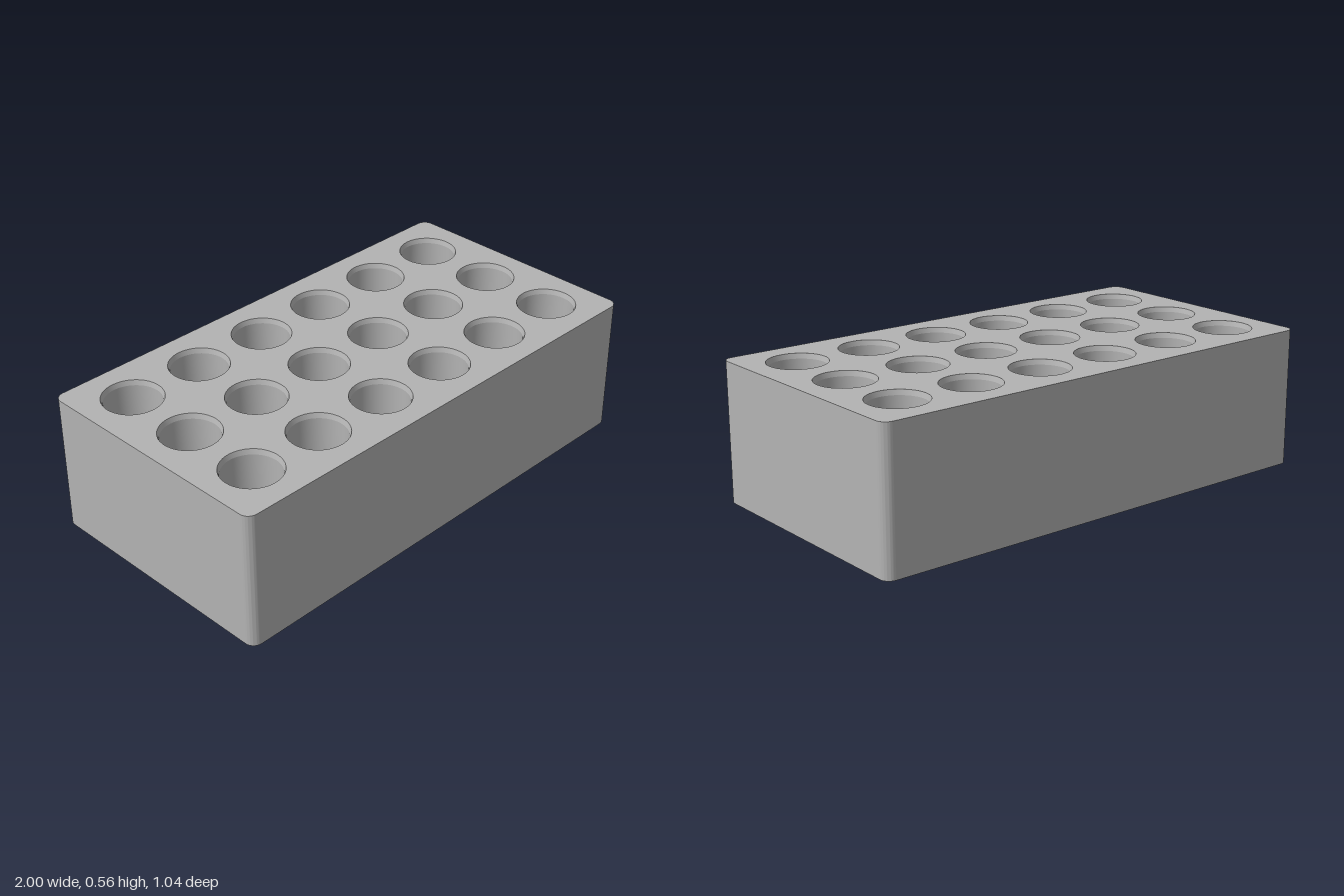
import * as THREE from 'three';
import { toCreasedNormals } from 'three/addons/utils/BufferGeometryUtils.js';

const W = 1, D = 0.522, H = 0.56, CORNER = 0.04; // half width, half depth, height
const PITCH = 0.319, WELL = 0.1115, RIM = 0.118, DRAIN = 0.024, FLOOR = 0.05;

// Rounded rectangle, anticlockwise
function outline() {
  const s = new THREE.Shape();
  const x = W - CORNER, y = D - CORNER;
  [[x, y], [-x, y], [-x, -y], [x, -y]].forEach(([cx, cy], i) =>
    s.absarc(cx, cy, CORNER, i * Math.PI / 2, (i + 1) * Math.PI / 2, false));
  return s;
}

// Flat plate pierced at every well position
function plate(centres, radius) {
  const s = outline();
  for (const [x, z] of centres) {
    const hole = new THREE.Path();
    hole.absarc(x, z, radius, 0, Math.PI * 2, true);
    s.holes.push(hole);
  }
  return new THREE.ShapeGeometry(s, 24);
}

// Upright wall following the outline
function wall() {
  const pts = outline().getPoints(12);
  const pos = [];
  pts.forEach((a, i) => {
    const b = pts[(i + 1) % pts.length];
    pos.push(a.x, 0, -a.y, b.x, 0, -b.y, b.x, H, -b.y);
    pos.push(a.x, 0, -a.y, b.x, H, -b.y, a.x, H, -a.y);
  });
  const g = new THREE.BufferGeometry();
  g.setAttribute('position', new THREE.Float32BufferAttribute(pos, 3));
  return toCreasedNormals(g, 0.5);
}

export function createModel() {
  const group = new THREE.Group();
  group.name = 'tubeRack';
  const grey = new THREE.MeshStandardMaterial({ color: 0xb3b3b3 });
  grey.name = 'grey';

  const add = (name, geometry) => {
    const m = new THREE.Mesh(geometry, grey);
    m.name = name;
    group.add(m);
    return m;
  };

  // Three rows of six wells
  const centres = [];
  for (let row = -1; row <= 1; row++)
    for (let col = 0; col < 6; col++) centres.push([(col - 2.5) * PITCH, row * PITCH]);

  add('outerWall', wall());
  add('topFace', plate(centres, RIM).rotateX(-Math.PI / 2).translate(0, H, 0));
  add('bottomFace', plate(centres, DRAIN).rotateX(Math.PI / 2));

  // Well lining: chamfered rim, bore, floor and drain hole
  const profile = [[RIM, H], [WELL, H - 0.02], [WELL, FLOOR], [DRAIN, FLOOR], [DRAIN, 0]]
    .map(([r, y]) => new THREE.Vector2(r, y));
  const lining = toCreasedNormals(new THREE.LatheGeometry(profile, 48), 0.25);
  for (const [x, z] of centres) add('well', lining).position.set(x, 0, z);

  return group;
}
